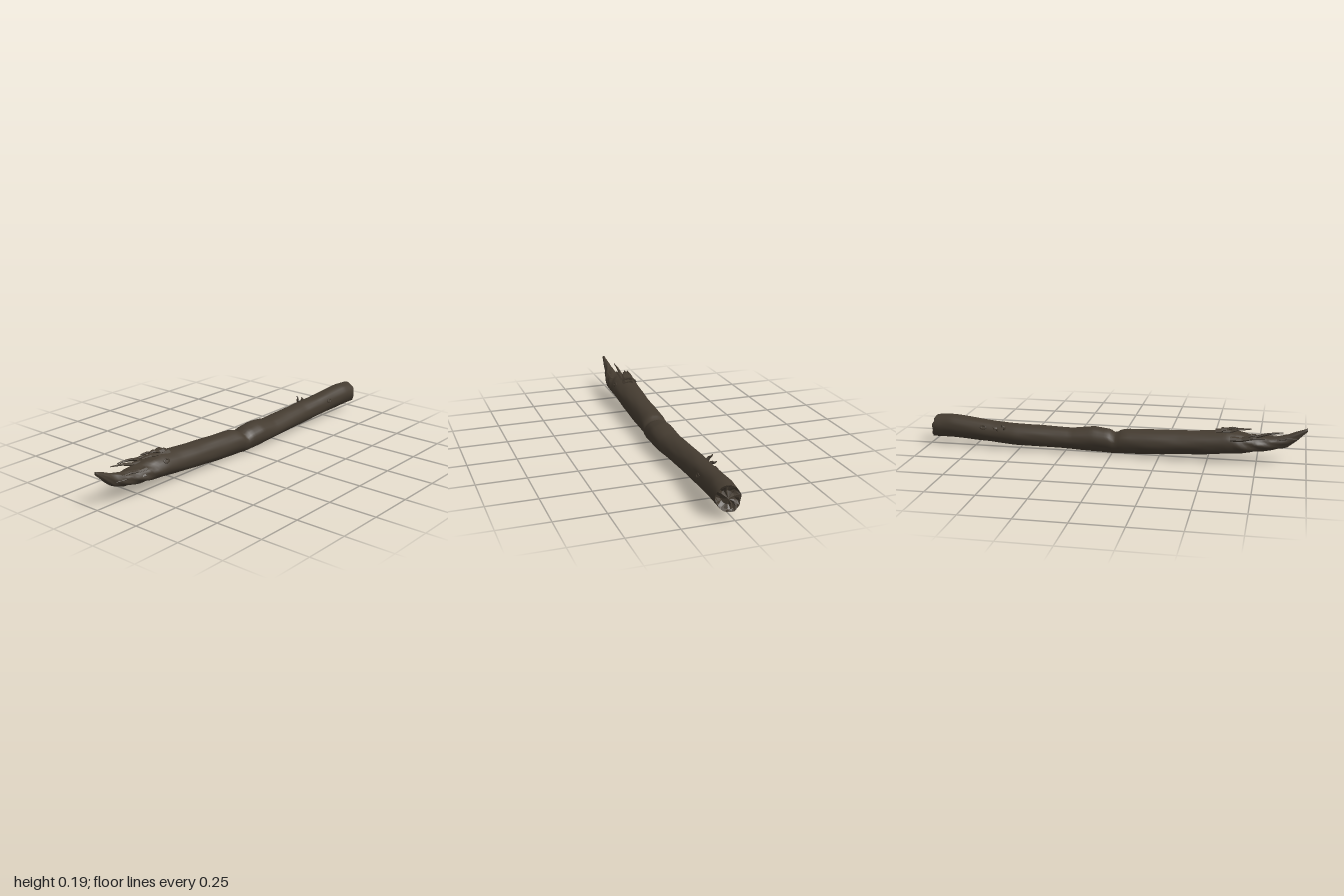
import * as THREE from 'three';

const bark = new THREE.MeshStandardMaterial({ color: 0x443b30 });
bark.name = 'dark bark';

// Trunk sections: x, bottom, top, back z, front z
const SECTIONS = [
  [-1.0, 0.172, 0.19, -0.005, 0.008], [-0.95, 0.125, 0.172, -0.016, 0.016],
  [-0.9, 0.087, 0.152, -0.025, 0.022], [-0.84, 0.072, 0.138, -0.035, 0.04],
  [-0.78, 0.062, 0.138, -0.05, 0.052], [-0.72, 0.054, 0.142, -0.065, 0.06],
  [-0.66, 0.047, 0.155, -0.082, 0.066], [-0.6, 0.041, 0.162, -0.085, 0.067],
  [-0.5, 0.032, 0.152, -0.083, 0.066], [-0.35, 0.02, 0.143, -0.076, 0.067],
  [-0.2, 0.008, 0.138, -0.07, 0.069], [-0.08, 0.005, 0.134, -0.064, 0.071],
  [-0.045, 0.005, 0.128, -0.062, 0.073], [-0.015, 0.002, 0.107, -0.057, 0.075],
  [0.015, 0.003, 0.128, -0.056, 0.079], [0.1, 0.006, 0.138, -0.055, 0.084],
  [0.22, 0.012, 0.122, -0.054, 0.08], [0.38, 0.016, 0.128, -0.059, 0.071],
  [0.52, 0.018, 0.132, -0.063, 0.062], [0.64, 0.026, 0.138, -0.053, 0.065],
  [0.78, 0.033, 0.153, -0.046, 0.071], [0.88, 0.037, 0.163, -0.041, 0.076],
  [0.97, 0.037, 0.157, -0.036, 0.076],
];
const SIDES = 22;
const RINGS = 120;

function seeded(seed) {
  return () => (seed = (seed * 16807) % 2147483647) / 2147483647;
}

function sectionAt(x) {
  let i = 0;
  while (i < SECTIONS.length - 2 && SECTIONS[i + 1][0] < x) i++;
  const a = SECTIONS[i], b = SECTIONS[i + 1];
  const t = (x - a[0]) / (b[0] - a[0]);
  return a.map((v, k) => v + (b[k] - v) * t);
}

// Point on the gnarled surface; r shrinks the section around its middle
function surface(x, angle, r = 1) {
  const [, bottom, top, back, front] = sectionAt(x);
  const wave = 0.018 * Math.sin(3 * angle + 7 * x) + 0.012 * Math.sin(5 * angle - 13 * x)
    + 0.009 * Math.sin(8 * angle + 29 * x);
  const torn = x < -0.6 ? 0.06 * Math.sin(6 * angle + 55 * x) * Math.min(1, (-0.6 - x) * 8) : 0;
  const s = r * (1 + wave + torn);
  return new THREE.Vector3(x,
    (bottom + top) / 2 + Math.sin(angle) * s * (top - bottom) / 2,
    (back + front) / 2 + Math.cos(angle) * s * (front - back) / 2);
}

function loft(rings, flat) {
  const points = rings.flat();
  const index = [];
  for (let i = 0; i < rings.length - 1; i++) {
    for (let j = 0; j < SIDES; j++) {
      const a = i * SIDES + j, b = i * SIDES + (j + 1) % SIDES;
      index.push(a, a + SIDES, b, b, a + SIDES, b + SIDES);
    }
  }
  let g = new THREE.BufferGeometry().setFromPoints(points);
  g.setIndex(index);
  if (flat) g = g.toNonIndexed();
  g.computeVertexNormals();
  return g;
}

export function createModel() {
  const group = new THREE.Group();
  const add = (name, geometry) => {
    const mesh = new THREE.Mesh(geometry, bark);
    mesh.name = name;
    group.add(mesh);
    return mesh;
  };
  const angles = Array.from({ length: SIDES }, (_, j) => j / SIDES * Math.PI * 2);

  // Slanted jagged break: longest at the lower back
  const rand = seeded(41);
  const rim = angles.map((a) => {
    const p = surface(0.97, a);
    p.x += -0.012 * Math.sin(a) - 0.012 * Math.cos(a) + (rand() - 0.5) * 0.014;
    return p;
  });

  // Trunk
  const rings = [angles.map(() => new THREE.Vector3(-1, 0.182, 0.002))];
  for (let i = 0; i < RINGS; i++) {
    const x = -1 + 1.935 * i / (RINGS - 1);
    rings.push(angles.map((a) => surface(x, a)));
  }
  rings.push(rim);
  add('trunk', loft(rings, false));

  // Broken end, slightly hollow and faceted
  const inner = [0.82, 0.5].map((r, k) => angles.map((a, j) => {
    const p = surface(0.97, a, r);
    p.x = rim[j].x - 0.008 - 0.008 * k + (rand() - 0.5) * 0.014;
    return p;
  }));
  const heart = angles.map(() => new THREE.Vector3(0.968, 0.095, 0.02));
  add('brokenEnd', loft([rim, ...inner, heart], true));

  // Tapered shard from base to tip
  function shard(name, from, to, width, thickness) {
    const a = new THREE.Vector3(...from), b = new THREE.Vector3(...to);
    const length = a.distanceTo(b);
    const g = new THREE.CylinderGeometry(0.18, 1, length, 6, 3);
    const pos = g.attributes.position;
    for (let i = 0; i < pos.count; i++) {
      const bend = Math.sin(pos.getY(i) / length * 9) * 0.2;
      pos.setX(i, (pos.getX(i) + bend) * thickness);
      pos.setZ(i, pos.getZ(i) * width);
    }
    const flat = g.toNonIndexed();
    flat.computeVertexNormals();
    const mesh = add(name, flat);
    mesh.position.copy(a).add(b).multiplyScalar(0.5);
    mesh.quaternion.setFromUnitVectors(new THREE.Vector3(0, 1, 0), b.sub(a).normalize());
  }

  // Splinters around the torn end
  [
    [[-0.68, 0.13, -0.03], [-0.88, 0.172, -0.03], 0.014, 0.012],
    [[-0.62, 0.13, -0.065], [-0.79, 0.148, -0.082], 0.02, 0.014],
    [[-0.64, 0.125, -0.06], [-0.76, 0.162, -0.055], 0.02, 0.012],
    [[-0.54, 0.152, -0.01], [-0.72, 0.172, 0.005], 0.032, 0.012],
    [[-0.58, 0.158, -0.02], [-0.69, 0.176, -0.028], 0.025, 0.011],
    [[-0.72, 0.125, 0.03], [-0.86, 0.135, 0.025], 0.02, 0.01],
    [[-0.74, 0.1, 0.045], [-0.9, 0.115, 0.024], 0.014, 0.012],
    [[-0.8, 0.12, -0.02], [-0.95, 0.14, -0.022], 0.012, 0.01],
  ].forEach((s) => shard('splinter', ...s));

  // Raised lip of bark on top of the torn end
  shard('barkLip', [-0.57, 0.163, -0.015], [-0.65, 0.179, -0.01], 0.03, 0.012);

  // Twig stubs and knots
  shard('twigStub', [0.57, 0.115, -0.045], [0.585, 0.142, -0.066], 0.012, 0.009);
  shard('twigStub', [0.61, 0.11, -0.045], [0.63, 0.122, -0.066], 0.014, 0.01);
  [[0.72, 0.35], [0.69, 2.6], [-0.6, 0.6]].forEach(([x, a]) => {
    const knot = add('knot', new THREE.TorusGeometry(0.009, 0.004, 5, 9));
    const p = surface(x, a);
    knot.position.copy(p);
    knot.lookAt(p.clone().add(new THREE.Vector3(0, Math.sin(a), Math.cos(a))));
    knot.scale.x = 1.6;
  });

  return group;
}
